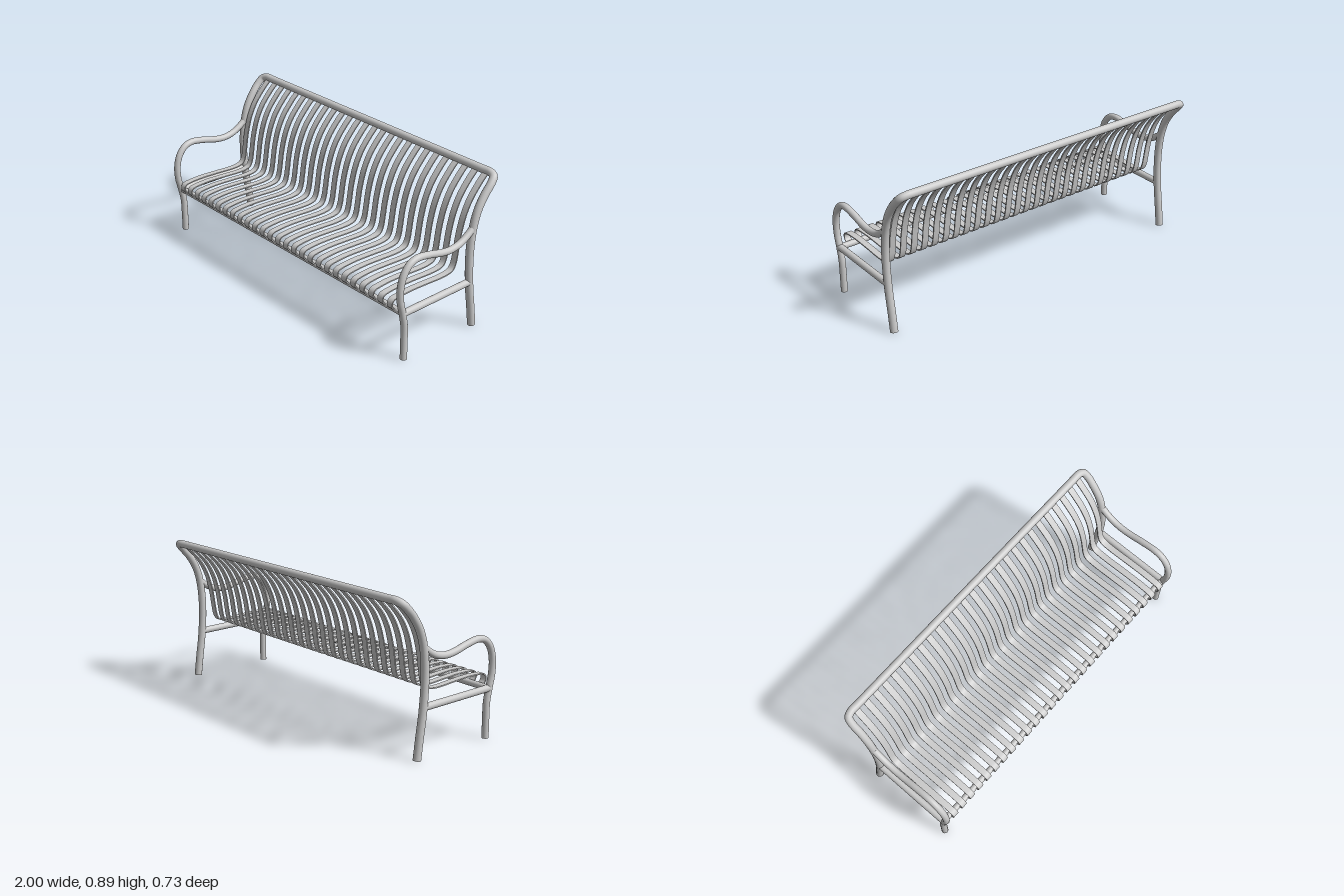
import * as THREE from 'three';
import { toCreasedNormals } from 'three/addons/utils/BufferGeometryUtils.js';

const SIDE_X = 0.976;

export function createModel() {
  const bench = new THREE.Group();
  bench.name = 'bench';
  const steel = new THREE.MeshStandardMaterial({ color: 0xcccccc });

  const add = (name, geometry) => {
    const mesh = new THREE.Mesh(geometry, steel);
    mesh.name = name;
    bench.add(mesh);
    return mesh;
  };
  const tube = (name, points, radius, segments) => {
    const curve = new THREE.CatmullRomCurve3(points.map((p) => new THREE.Vector3(...p)));
    return add(name, new THREE.TubeGeometry(curve, segments, radius, 20));
  };
  // Flat sole closing the open end of a leg
  const sole = (x, z, radius) => {
    const cap = add('legSole', new THREE.CircleGeometry(radius, 20));
    cap.rotation.x = Math.PI / 2;
    cap.position.set(x, 0, z);
  };

  // Back frame: one bent pipe forming both rear legs, the posts and the top rail
  const half = [
    [SIDE_X, 0, -0.213], [SIDE_X, 0.12, -0.197], [SIDE_X, 0.25, -0.178],
    [SIDE_X, 0.4, -0.167], [SIDE_X, 0.52, -0.17], [SIDE_X, 0.62, -0.185],
    [SIDE_X, 0.7, -0.212], [SIDE_X, 0.77, -0.255], [SIDE_X, 0.825, -0.303],
    [0.966, 0.853, -0.33], [0.935, 0.864, -0.34], [0.88, 0.864, -0.34],
  ];
  const mirrored = half.map(([x, y, z]) => [-x, y, z]).reverse();
  tube('backFrame', [...half, ...mirrored], 0.0225, 300);

  // Front leg sweeping up into the armrest, plus the side seat rail
  const armPath = [
    [0, 0.307], [0.1, 0.307], [0.2, 0.309], [0.28, 0.324], [0.36, 0.342],
    [0.44, 0.343], [0.51, 0.322], [0.557, 0.28], [0.572, 0.23], [0.56, 0.14],
    [0.538, 0.05], [0.532, -0.02], [0.546, -0.09], [0.58, -0.15], [0.61, -0.185],
  ];
  for (const [side, label] of [[1, 'left'], [-1, 'right']]) {
    const x = side * SIDE_X;
    tube(label + 'ArmAndFrontLeg', armPath.map(([y, z]) => [x, y, z]), 0.0195, 110);
    sole(x, 0.307, 0.0195);
    sole(x, -0.213, 0.0225);
    const rail = add(label + 'SeatRail', new THREE.CylinderGeometry(0.02, 0.02, 0.5, 20));
    rail.rotation.x = Math.PI / 2;
    rail.position.set(x, 0.28, 0.075);
  }

  // Front rail carrying the slat ends
  const frontRail = add('frontRail', new THREE.CylinderGeometry(0.018, 0.018, 1.94, 20));
  frontRail.rotation.z = Math.PI / 2;
  frontRail.position.set(0, 0.28, 0.318);

  // Slat centre line as (z, y), from the front curl over the seat and up the back
  const line = new THREE.SplineCurve([
    [0.334, 0.288], [0.347, 0.3], [0.352, 0.318], [0.345, 0.338], [0.318, 0.348],
    [0.22, 0.354], [0.1, 0.35], [0, 0.345], [-0.065, 0.348], [-0.1, 0.362],
    [-0.119, 0.4], [-0.13, 0.46], [-0.145, 0.55], [-0.174, 0.65],
    [-0.218, 0.735], [-0.28, 0.808], [-0.332, 0.856],
  ].map(([z, y]) => new THREE.Vector2(z, y)));

  // Offset the line both ways into a thin band and extrude it to the slat width
  const steps = 90, halfThick = 0.0035, width = 0.038;
  const upper = [], lower = [];
  for (let i = 0; i <= steps; i++) {
    const p = line.getPointAt(i / steps), t = line.getTangentAt(i / steps);
    const n = new THREE.Vector2(-t.y, t.x).multiplyScalar(halfThick);
    upper.push(p.clone().add(n));
    lower.push(p.clone().sub(n));
  }
  const band = new THREE.Shape([...upper, ...lower.reverse()]);
  let slat = new THREE.ExtrudeGeometry(band, { depth: width, bevelEnabled: false });
  slat.translate(0, 0, -width / 2);
  slat.rotateY(-Math.PI / 2); // profile x becomes model z
  slat = toCreasedNormals(slat, 0.7);

  const count = 27;
  for (let i = 0; i < count; i++) {
    add('slat', slat).position.x = -0.91 + (1.82 * i) / (count - 1);
  }
  return bench;
}
